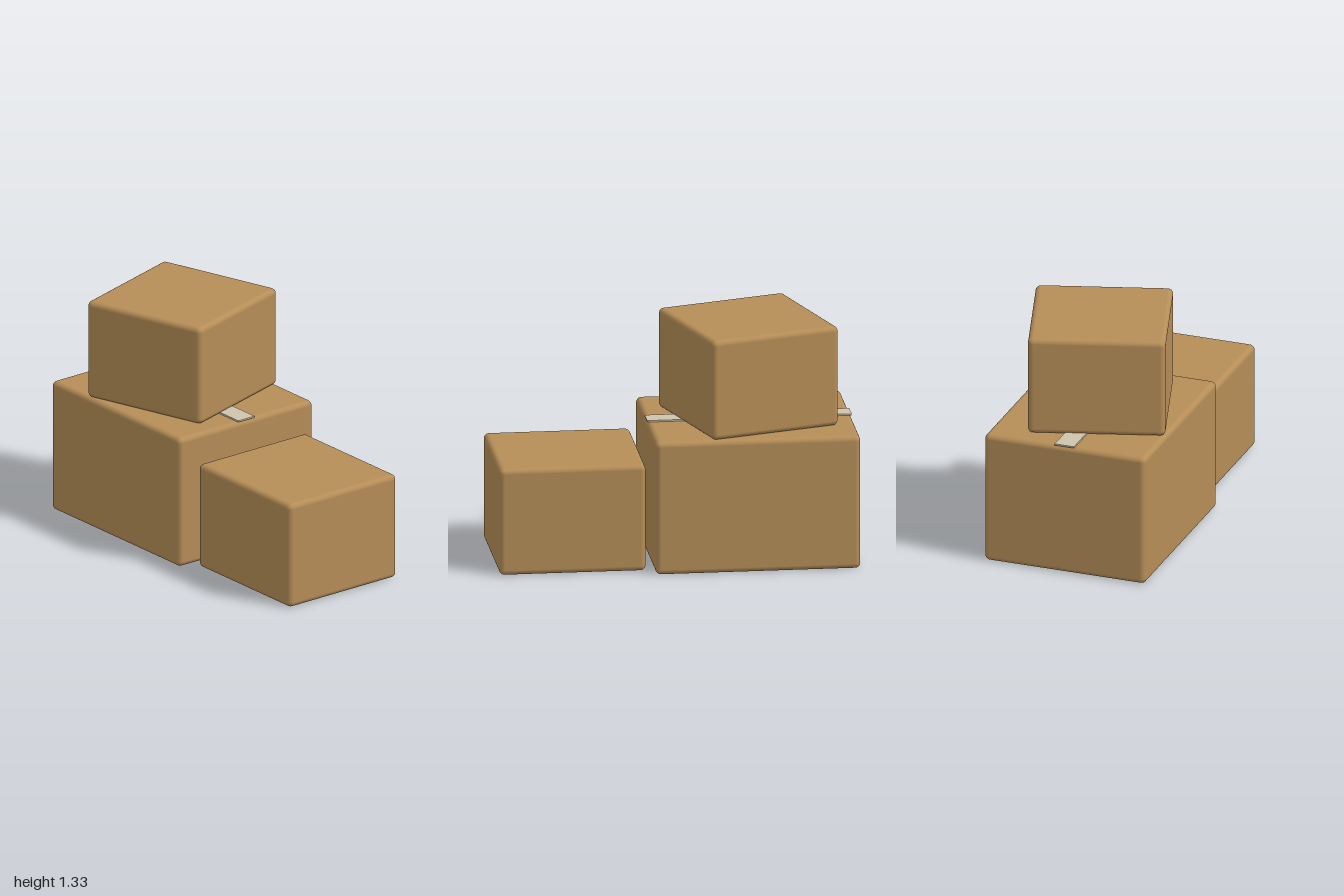
import * as THREE from 'three';
import { RoundedBoxGeometry } from 'three/addons/geometries/RoundedBoxGeometry.js';

export function createModel() {
  const group = new THREE.Group();
  const cardboard = new THREE.MeshStandardMaterial({ color: 0xb58d57 });
  cardboard.name = 'cardboard';
  const tapeColour = new THREE.MeshStandardMaterial({ color: 0xcfc4ad });
  tapeColour.name = 'pale tape';

  // Softly rounded carton standing on height y, turned about its vertical axis
  function addBox(name, [w, h, d], [x, y, z], turn = 0) {
    const box = new THREE.Mesh(new RoundedBoxGeometry(w, h, d, 4, 0.03), cardboard);
    box.name = name;
    box.position.set(x, y + h / 2, z);
    box.rotation.y = turn;
    group.add(box);
  }

  addBox('largeBox', [1.14, 0.763, 0.95], [-0.43, 0, 0]);
  addBox('smallBox', [0.815, 0.611, 0.762], [0.5925, 0, 0]);
  addBox('stackedBox', [0.762, 0.571, 0.762], [-0.43, 0.763, 0], 0.3);

  // Tape strip along the top of the large box
  const tape = new THREE.Mesh(new THREE.BoxGeometry(1.14, 0.009, 0.114), tapeColour);
  tape.name = 'tapeStrip';
  tape.position.set(-0.43, 0.768, 0);
  group.add(tape);

  return group;
}
